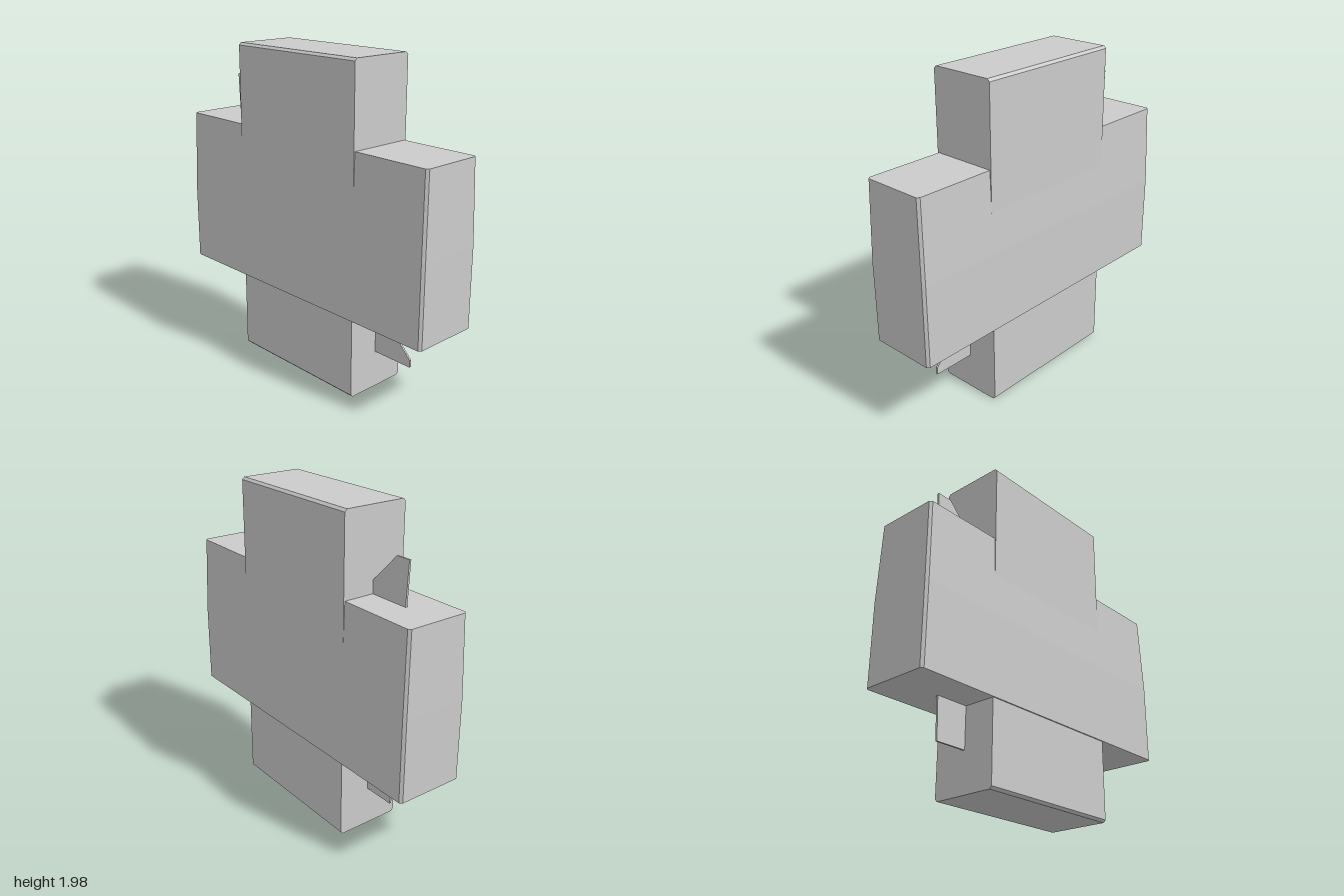
import * as THREE from 'three';

const material = new THREE.MeshStandardMaterial({ color: 0xcccccc, flatShading: true });

// Rectangle with small corner chamfers
function chamferedRect(hw, hh, c) {
  return new THREE.Shape([
    [hw - c, -hh], [hw, -hh + c], [hw, hh - c], [hw - c, hh],
    [-hw + c, hh], [-hw, hh - c], [-hw, -hh + c], [-hw + c, -hh],
  ].map(([x, y]) => new THREE.Vector2(x, y)));
}

function extrude(shape, depth, steps = 1) {
  const geo = new THREE.ExtrudeGeometry(shape, { depth, steps, bevelEnabled: false });
  return geo.translate(0, 0, -depth / 2);
}

export function createModel() {
  const group = new THREE.Group();
  const add = (name, geo) => {
    const mesh = new THREE.Mesh(geo, material);
    mesh.name = name;
    group.add(mesh);
  };

  // Upright block, chamfered along its long front and back edges
  const upright = extrude(chamferedRect(0.207, 0.99, 0.015), 0.97);
  add('uprightBlock', upright.rotateY(Math.PI / 2).translate(0, 0.995, 0));

  // Wide crossing block, chamfered at its corners and narrowing above the middle
  const cross = extrude(chamferedRect(0.998, 0.215, 0.015), 0.99, 2);
  cross.rotateX(-Math.PI / 2).translate(0, 0.995, 0);
  const pos = cross.attributes.position;
  for (let i = 0; i < pos.count; i++) {
    const t = Math.max(0, (pos.getY(i) - 0.995) / 0.495);
    pos.setX(i, pos.getX(i) * (1 - 0.011 * t));
    pos.setZ(i, pos.getZ(i) * (1 - 0.075 * t));
  }
  cross.computeVertexNormals();
  add('crossBlock', cross);

  // Thin fins in three of the inner corners
  const fins = {
    upperRightFin: [[-0.745, 1.47], [-0.47, 1.47], [-0.47, 1.555], [-0.665, 1.75], [-0.76, 1.75]],
    lowerRightFin: [[-0.685, 0.25], [-0.47, 0.25], [-0.47, 0.52], [-0.695, 0.52]],
    lowerLeftFin: [[0.47, 0.235], [0.755, 0.235], [0.755, 0.28], [0.52, 0.52], [0.47, 0.52]],
  };
  for (const [name, points] of Object.entries(fins)) {
    const shape = new THREE.Shape(points.map(([x, y]) => new THREE.Vector2(x, y)));
    add(name, extrude(shape, 0.012));
  }
  return group;
}
